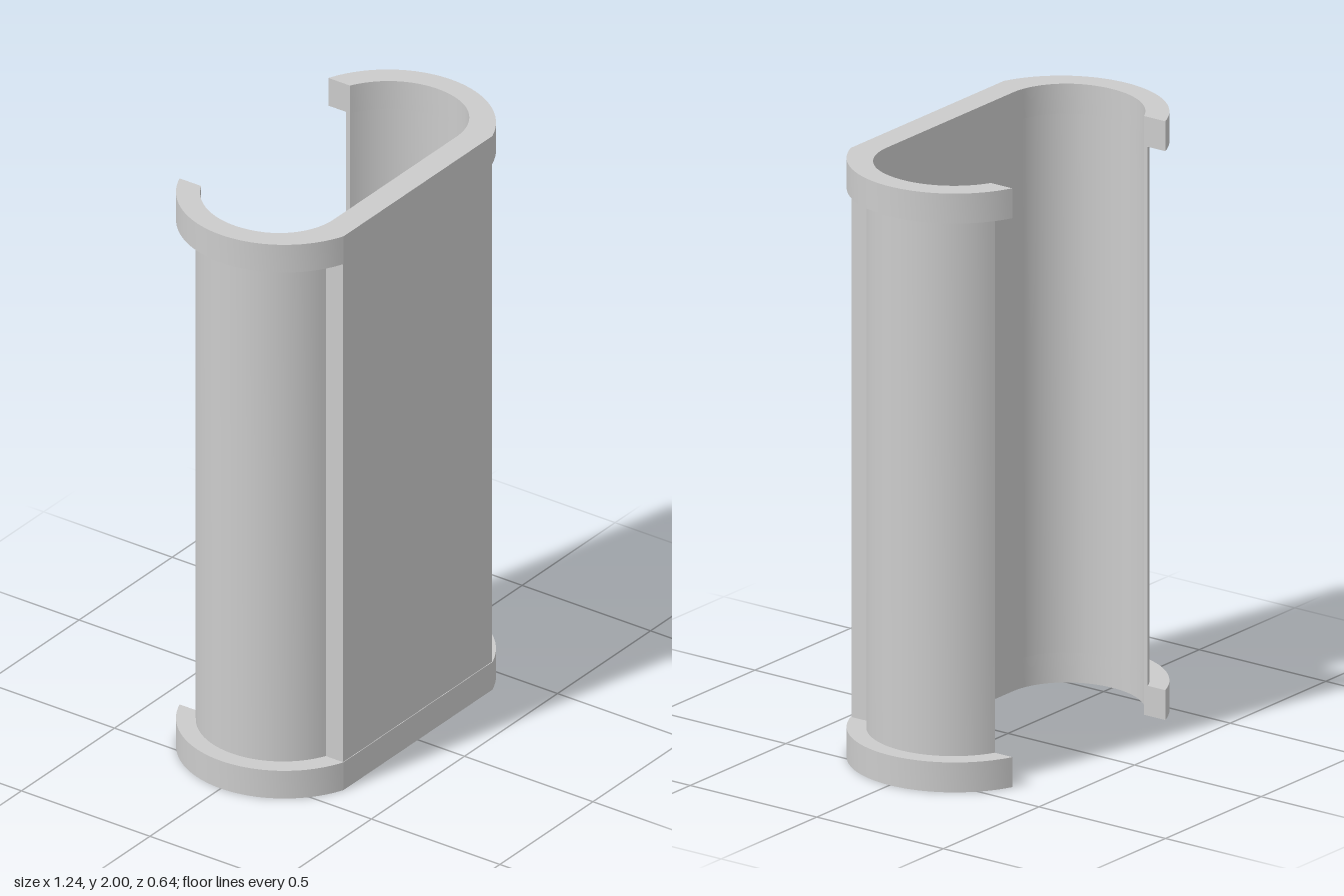
import * as THREE from 'three';
import { toCreasedNormals } from 'three/addons/utils/BufferGeometryUtils.js';

// Points along a circular arc, angles in radians
function arc(cx, cy, r, from, to, n) {
  return Array.from({ length: n + 1 }, (_, i) => {
    const a = from + (to - from) * i / n;
    return new THREE.Vector2(cx + r * Math.cos(a), cy + r * Math.sin(a));
  });
}

const mirror = (pts) => pts.map((p) => new THREE.Vector2(-p.x, p.y));

// Symmetric C section from its right half; both lists run from back to front
function section(outer, inner) {
  return new THREE.Shape([
    ...outer,
    ...mirror(outer).reverse(),
    ...mirror(inner),
    ...[...inner].reverse(),
  ]);
}

export function createModel() {
  const group = new THREE.Group();
  const material = new THREE.MeshStandardMaterial({ color: 0xcccccc });

  // Upright extrusion of a section (section y points to the back)
  function addPart(name, shape, y, height) {
    const geo = new THREE.ExtrudeGeometry(shape, { depth: height, bevelEnabled: false });
    geo.rotateX(-Math.PI / 2);
    const mesh = new THREE.Mesh(toCreasedNormals(geo, 0.3), material);
    mesh.name = name;
    mesh.position.y = y;
    group.add(mesh);
  }

  // Shared inner outline: large side arc blending into the flat front wall
  const blend = -0.358;
  const inner = [
    ...arc(0.282, 0, 0.263, Math.atan2(0.235, 0.118), blend, 28),
    ...arc(0.33, -0.018, 0.212, blend, -Math.PI / 2, 20).slice(1),
  ];

  // Thin curved wall with a thick flat front plate
  const wallEnd = Math.atan2(0.25, 0.115);
  const wallOuter = [
    ...arc(0.285, 0, 0.275, wallEnd, -wallEnd, 40),
    new THREE.Vector2(0.4, -0.317),
  ];
  addPart('wall', section(wallOuter, inner), 0.1, 1.8);

  // Thicker rims at both ends
  const rimEnd = Math.atan2(0.319, 0.123);
  const rim = section(arc(0.277, 0, 0.342, rimEnd, -rimEnd, 40), inner);
  addPart('bottomRim', rim, 0, 0.1);
  addPart('topRim', rim, 1.9, 0.1);

  return group;
}
